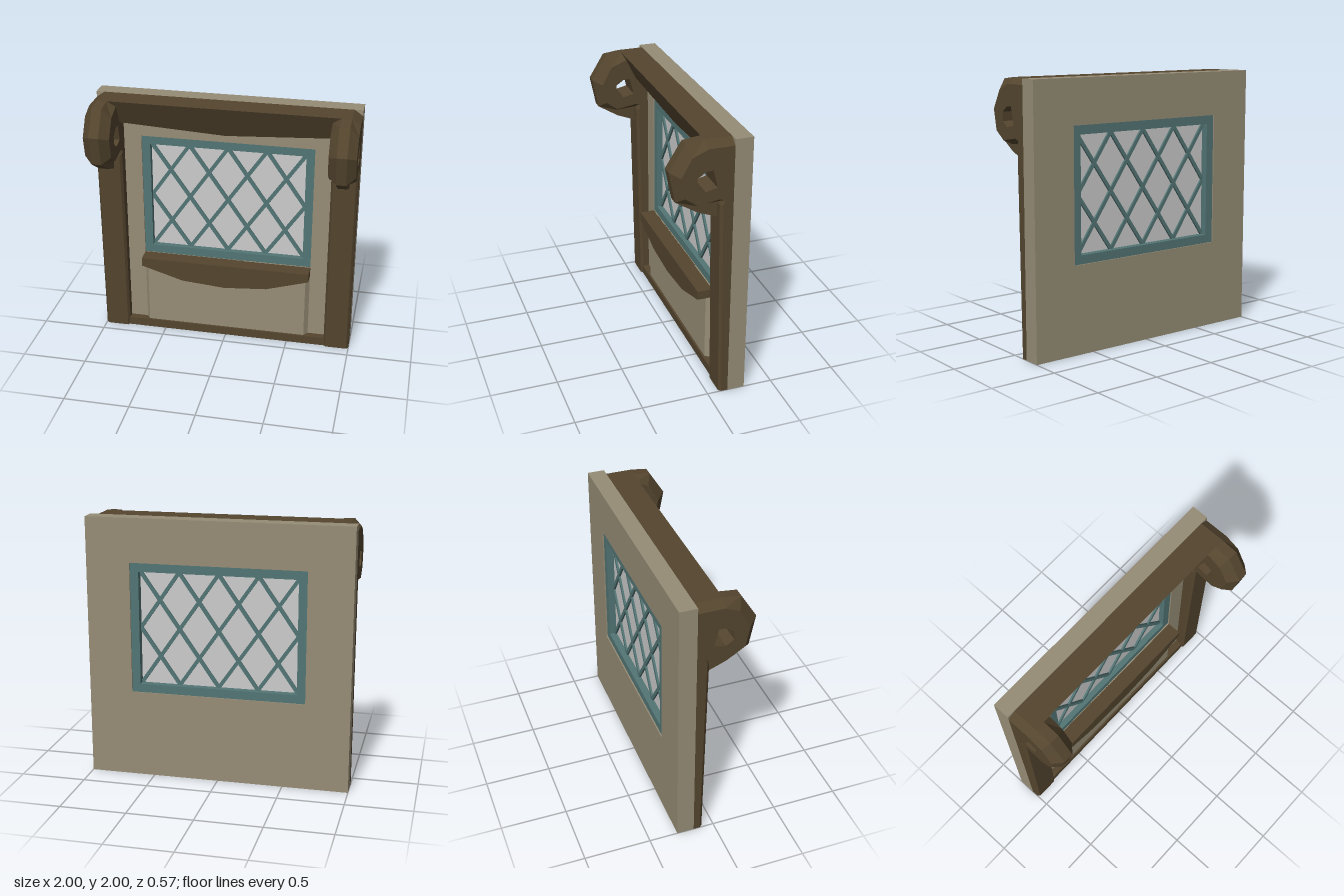
import * as THREE from 'three';

const mat = (color) => new THREE.MeshStandardMaterial({ color, flatShading: true });

// Lofts counter-clockwise [u, v] sections along w; place() maps (u, v, w) to xyz.
// An optional clockwise hole runs straight through the loft.
function loft(sections, place, hole = []) {
  const pos = [];
  const tri = (...pts) => pts.forEach((p) => pos.push(...place(...p)));
  const skin = (rings) => {
    for (let i = 0; i < rings.length - 1; i++) {
      const n = rings[i].length;
      for (let j = 0; j < n; j++) {
        const k = (j + 1) % n;
        const a = rings[i][j], b = rings[i][k], c = rings[i + 1][k], d = rings[i + 1][j];
        tri(a, b, c);
        tri(a, c, d);
      }
    }
  };
  const ringAt = (pts, w) => pts.map(([u, v]) => [u, v, w]);
  skin(sections.map((s) => ringAt(s.pts, s.w)));
  const ends = [sections[0], sections[sections.length - 1]];
  if (hole.length) skin(ends.map((s) => ringAt(hole, s.w)));
  const v2 = (pts) => pts.map(([u, v]) => new THREE.Vector2(u, v));
  ends.forEach((s, end) => {
    const all = ringAt([...s.pts, ...hole], s.w);
    const faces = THREE.ShapeUtils.triangulateShape(v2(s.pts), hole.length ? [v2(hole)] : []);
    for (const [a, b, c] of faces) {
      if (end) tri(all[a], all[b], all[c]);
      else tri(all[a], all[c], all[b]);
    }
  });
  const g = new THREE.BufferGeometry();
  g.setAttribute('position', new THREE.Float32BufferAttribute(pos, 3));
  g.computeVertexNormals();
  return g;
}
const alongX = (y, z, x) => [x, y, z];
const alongY = (z, x, y) => [x, y, z];

const rect = (Type, w, y0, y1) => new Type(
  [[-w, y0], [w, y0], [w, y1], [-w, y1]].map(([x, y]) => new THREE.Vector2(x, y)));

// Extrudes a front outline between two depths
function slab(shape, z0, z1) {
  return new THREE.ExtrudeGeometry(shape, { depth: z1 - z0, bevelEnabled: false }).translate(0, 0, z0);
}

export function createModel() {
  const root = new THREE.Group();
  root.name = 'wallWithWindow';
  const plaster = mat(0x968d76), wood = mat(0x54452e), teal = mat(0x537575), glass = mat(0xffffff);
  const add = (name, geometry, material, parent = root) => {
    const m = new THREE.Mesh(geometry, material);
    m.name = name;
    parent.add(m);
    return m;
  };

  // Plaster wall with window opening
  const wall = rect(THREE.Shape, 1, 0, 2);
  wall.holes.push(rect(THREE.Path, 0.665, 0.667, 1.667));
  add('wall', slab(wall, -0.285, -0.155), plaster);

  // Raised panel below the window, with sloping sides
  add('lowerPanel', loft([0.06, 0.61].map((w) => ({
    w, pts: [[-0.16, -0.668], [-0.115, -0.635], [-0.115, 0.635], [-0.16, 0.668]],
  })), alongY), plaster);

  // Window frame, pane and diamond lattice
  const win = new THREE.Group();
  win.name = 'window';
  root.add(win);
  const frame = rect(THREE.Shape, 0.665, 0.667, 1.667);
  frame.holes.push(rect(THREE.Path, 0.6, 0.733, 1.6));
  add('windowFrame', slab(frame, -0.275, -0.165), teal, win);
  const pane = add('windowPane', new THREE.BoxGeometry(1.22, 0.89, 0.01), glass, win);
  pane.position.set(0, 1.167, -0.215);
  const slope = 0.867 / 0.6;
  for (const side of [-1, 1]) {
    for (let k = -3; k <= 1; k++) {
      const x0 = k * 0.3;
      const xa = Math.max(x0, -0.6), xb = Math.min(x0 + 0.6, 0.6);
      const ya = 1.6 - (xa - x0) * slope, yb = 1.6 - (xb - x0) * slope;
      const bar = add('latticeBar', new THREE.BoxGeometry(
        Math.hypot(xb - xa, yb - ya) + 0.03, 0.028, 0.04), teal, win);
      bar.position.set(side * (xa + xb) / 2, (ya + yb) / 2, -0.215);
      bar.rotation.z = side * Math.atan2(yb - ya, xb - xa);
    }
  }

  // Sill with a bowed lower edge
  const sill = new THREE.Shape([[-0.665, 0.667], [-0.665, 0.6], [-0.335, 0.5], [0, 0.473],
    [0.335, 0.5], [0.665, 0.6], [0.665, 0.667]].map(([x, y]) => new THREE.Vector2(x, y)));
  add('windowSill', slab(sill, -0.16, -0.04), wood);

  // Base rail
  add('baseRail', slab(rect(THREE.Shape, 0.81, 0, 0.067), -0.155, -0.1), wood);

  // Top beam: flat front leaning back, underside dipping to the middle
  add('topBeam', loft([[-0.87, 1.795], [0, 1.735], [0.87, 1.795]].map(([w, y]) => ({
    w, pts: [[y, -0.155], [2, -0.155], [2, 0.04], [y + 0.015, 0.04 - (1.985 - y) * 0.48]],
  })), alongX), wood);

  // Chamfered, slightly flared post
  const postAt = (w, front) => ({ w, pts: [[-0.155, -0.1], [front - 0.02, -0.1], [front, -0.083],
    [front, 0.083], [front - 0.02, 0.1], [-0.155, 0.1]] });
  const postGeo = loft([postAt(0, -0.087), postAt(1.53, -0.062), postAt(1.58, -0.08)], alongY);

  // Rounded bracket: fuller profile in the middle, smaller at the sides, pierced by a hole
  const mid = [[1.53, -0.155], [2, -0.155], [2, 0.045], [1.985, 0.17],
    [1.8, 0.285], [1.575, 0.24], [1.525, 0.085], [1.535, -0.06]];
  const edge = [[1.54, -0.155], [1.955, -0.155], [1.955, 0.03], [1.91, 0.14],
    [1.77, 0.22], [1.62, 0.19], [1.555, 0.1], [1.58, -0.055]];
  const eye = [[1.67, -0.037], [1.8, -0.005], [1.795, 0.048],
    [1.756, 0.106], [1.69, 0.106], [1.65, 0.048]].reverse();
  const bracketGeo = loft([{ w: -0.1, pts: edge }, { w: -0.037, pts: mid },
    { w: 0.037, pts: mid }, { w: 0.1, pts: edge }], alongX, eye);

  // Narrow rib under the bracket, running down onto the post
  const rib = [[1.42, -0.155], [1.6, -0.155], [1.575, 0.24], [1.475, 0.08], [1.42, -0.06]];
  const ribGeo = loft([-0.037, 0.037].map((w) => ({ w, pts: rib })), alongX);

  for (const [name, x] of [['left', 0.9], ['right', -0.9]]) {
    add(name + 'Post', postGeo, wood).position.x = x;
    add(name + 'Bracket', bracketGeo, wood).position.x = x;
    add(name + 'BracketRib', ribGeo, wood).position.x = x;
  }
  return root;
}
